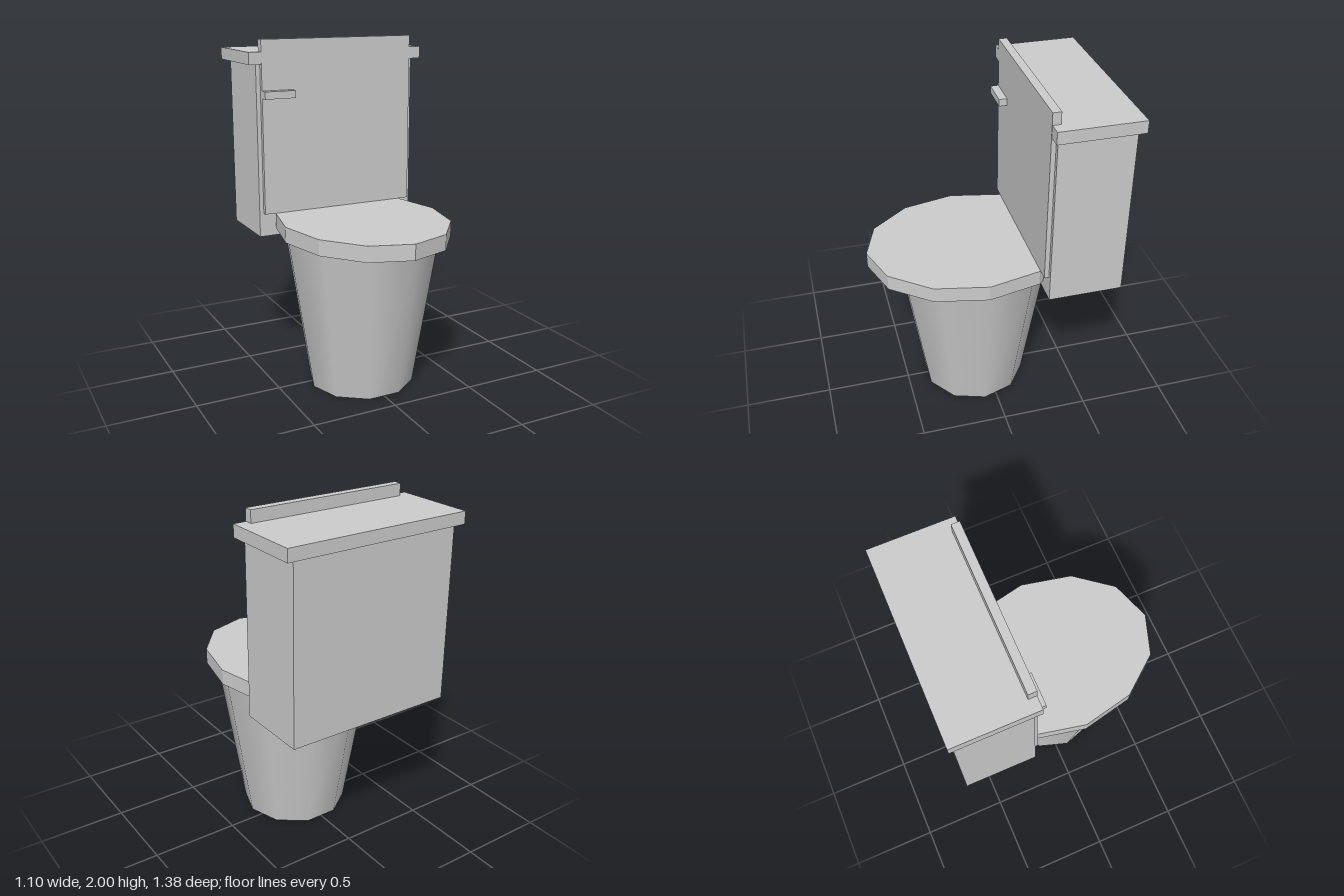
import * as THREE from 'three';

export function createModel() {
  const model = new THREE.Group();
  model.name = 'toilet';

  // DoubleSide because the pedestal is an open tube
  const porcelain = new THREE.MeshStandardMaterial({ color: 0xcccccc, side: THREE.DoubleSide });
  porcelain.name = 'grey porcelain';

  function add(name, geometry) {
    const mesh = new THREE.Mesh(geometry, porcelain);
    mesh.name = name;
    model.add(mesh);
    return mesh;
  }

  // Box given by its limits on each axis
  function box(name, [x0, x1], [y0, y1], [z0, z1]) {
    const mesh = add(name, new THREE.BoxGeometry(x1 - x0, y1 - y0, z1 - z0));
    mesh.position.set((x0 + x1) / 2, (y0 + y1) / 2, (z0 + z1) / 2);
  }

  // Tapered ten-sided pedestal, smooth and open at the foot, with corners on the x axis
  const bowl = new THREE.CylinderGeometry(0.453, 0.31, 0.91, 10, 1, true);
  bowl.rotateY(Math.PI / 2);
  add('bowl', bowl).position.set(0, 0.455, 0.075);

  // Flat-sided oval seat, its rear end running into the tank
  const seat = new THREE.CylinderGeometry(1, 1, 0.09, 12).toNonIndexed();
  seat.scale(0.475, 1, 0.6);
  seat.computeVertexNormals();
  add('seat', seat).position.set(0, 0.955, 0.09);

  // Raised seat cover leaning on the tank
  box('raisedCover', [-0.475, 0.475], [1.0, 2.0], [-0.262, -0.214]);

  // Cistern
  box('tank', [-0.5, 0.5], [0.862, 1.862], [-0.665, -0.24]);
  box('tankLid', [-0.548, 0.548], [1.862, 1.932], [-0.69, -0.216]);
  box('flushHandle', [-0.475, -0.29], [1.672, 1.715], [-0.262, -0.167]);

  return model;
}
